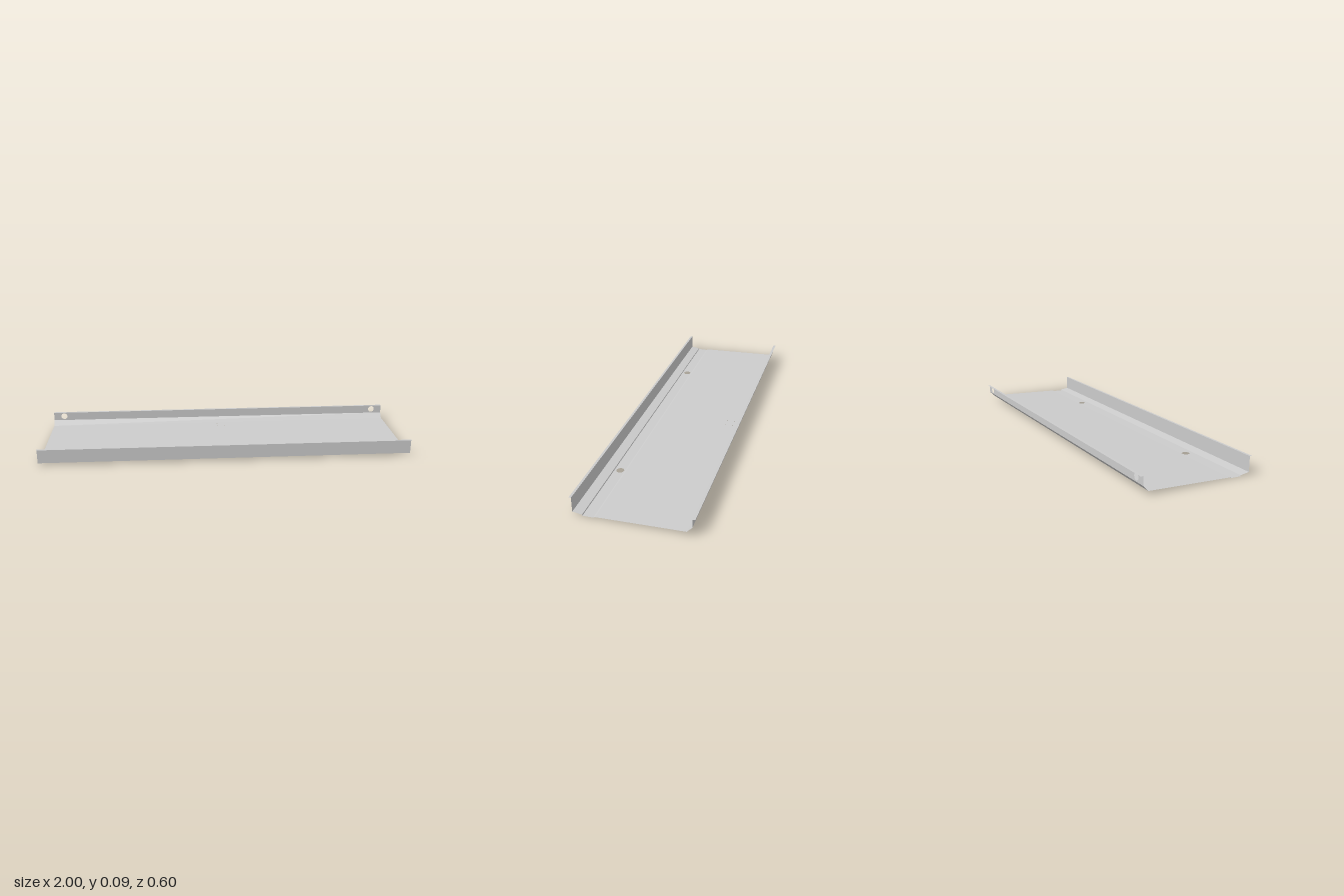
import * as THREE from 'three';

const material = new THREE.MeshStandardMaterial({ color: 0xcccccc, side: THREE.DoubleSide });

// Folded sheet cross-section from front to back, as [z, y]
const profile = [
  [0.302, 0.091], [0.29, 0.091], [0.29, 0.013], [0.242, 0.005], [0.24, 0],
  [0.186, 0], [0.178, 0.005], [-0.262, 0.018], [-0.288, 0.045], [-0.288, 0.091], [-0.302, 0.091],
];
const names = ['frontLip', 'frontWall', 'frontSlope', 'grooveFrontStep', 'grooveFloor',
  'grooveBackStep', 'trayFloor', 'backChamfer', 'backWall', 'backLip'];

// Holes per strip, as [x, distance across the strip, radius]
const holes = {
  grooveFloor: [[-0.6, 0.03, 0.02], [0.6, 0.03, 0.02]],
  backWall: [[-0.94, 0.024, 0.018], [0.94, 0.024, 0.018]],
  trayFloor: [-0.022, 0.022].flatMap((x) => [0.38, 0.42].map((d) => [x, d, 0.003])),
};

// One flat strip of the sheet between two folds
function strip(name, [z0, y0], [z1, y1]) {
  const dir = new THREE.Vector3(0, y1 - y0, z1 - z0);
  const width = dir.length();
  dir.normalize();
  const shape = new THREE.Shape([
    new THREE.Vector2(-1, 0), new THREE.Vector2(1, 0),
    new THREE.Vector2(1, width), new THREE.Vector2(-1, width),
  ]);
  for (const [x, d, r] of holes[name] ?? []) {
    shape.holes.push(new THREE.Path().absarc(x, d, r, 0, Math.PI * 2, true));
  }
  const xAxis = new THREE.Vector3(1, 0, 0);
  const normal = new THREE.Vector3().crossVectors(xAxis, dir);
  const geometry = new THREE.ShapeGeometry(shape, 16);
  geometry.applyMatrix4(new THREE.Matrix4().makeBasis(xAxis, dir, normal).setPosition(0, y0, z0));
  const mesh = new THREE.Mesh(geometry, material);
  mesh.name = name;
  return mesh;
}

export function createModel() {
  const group = new THREE.Group();
  group.name = 'foldedTray';
  names.forEach((name, i) => group.add(strip(name, profile[i], profile[i + 1])));
  return group;
}
